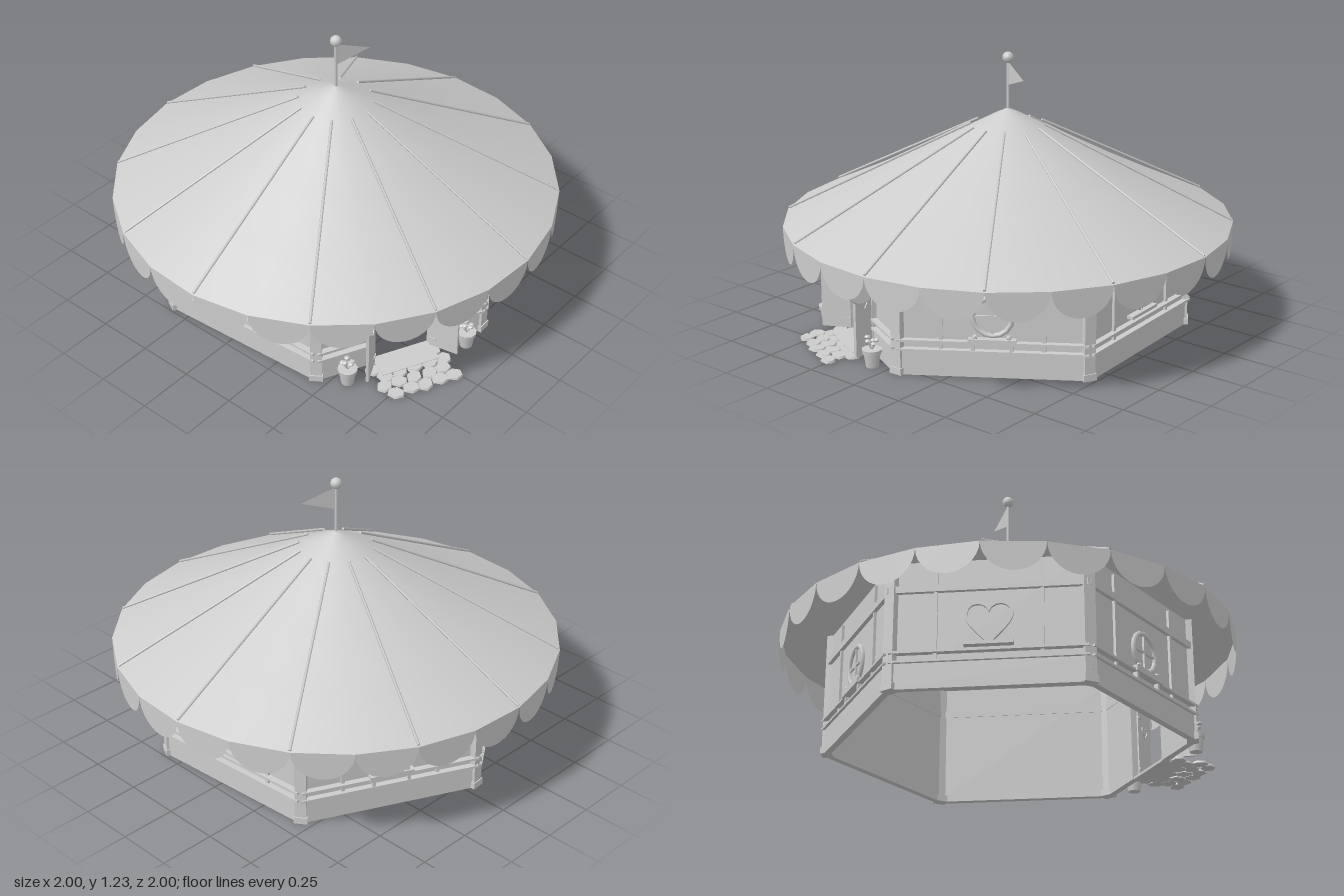
import * as THREE from 'three';

const DEG = Math.PI / 180;
const TURN = 4 * DEG;
const APOTHEM = 0.69;

export function createModel() {
  const clay = new THREE.MeshStandardMaterial({ color: 0xcccccc, side: THREE.DoubleSide });
  clay.name = 'light grey';
  const model = new THREE.Group();
  const house = new THREE.Group();
  house.name = 'pavilion';
  house.rotation.y = TURN;
  model.add(house);

  const add = (parent, name, geo, x = 0, y = 0, z = 0) => {
    const m = new THREE.Mesh(geo, clay);
    m.name = name;
    m.position.set(x, y, z);
    parent.add(m);
    return m;
  };
  // box given by its centre x, bottom y, centre z
  const box = (parent, name, w, h, d, x, y, z) =>
    add(parent, name, new THREE.BoxGeometry(w, h, d), x, y + h / 2, z);

  // thin round bar between two points
  const bar = (parent, name, a, b, r, sides = 6) => {
    const dir = b.clone().sub(a);
    const m = add(parent, name, new THREE.CylinderGeometry(r, r, dir.length(), sides));
    m.position.copy(a).add(b).multiplyScalar(0.5);
    m.quaternion.setFromUnitVectors(new THREE.Vector3(0, 1, 0), dir.normalize());
    return m;
  };

  const heartCurve = (s, target) => {
    target.moveTo(0, -s);
    target.bezierCurveTo(-0.35 * s, -0.55 * s, -s, -0.1 * s, -s, 0.4 * s);
    target.bezierCurveTo(-s, 1.05 * s, -0.15 * s, 1.05 * s, 0, 0.5 * s);
    target.bezierCurveTo(0.15 * s, 1.05 * s, s, 1.05 * s, s, 0.4 * s);
    target.bezierCurveTo(s, -0.1 * s, 0.35 * s, -0.55 * s, 0, -s);
    return target;
  };
  const heartRing = (s, inner, depth) => {
    const shape = heartCurve(s, new THREE.Shape());
    shape.holes.push(heartCurve(inner, new THREE.Path()));
    return new THREE.ExtrudeGeometry(shape, { depth, bevelEnabled: false, curveSegments: 6 });
  };

  // Roof: slightly hollow 24-sided cone
  const profile = [[1, 0.485], [0.75, 0.6], [0.5, 0.722], [0.25, 0.852], [0.15, 0.905], [0.05, 0.958], [0, 0.98]]
    .map(([r, y]) => new THREE.Vector2(r, y));
  add(house, 'roof', new THREE.LatheGeometry(profile, 24));

  // Straight ribs over the roof
  for (let i = 0; i < 12; i++) {
    const a = i * 30 * DEG, c = Math.cos(a), s = Math.sin(a);
    bar(house, 'roofRib', new THREE.Vector3(0.165 * c, 0.908, 0.165 * s),
      new THREE.Vector3(0.995 * c, 0.492, 0.995 * s), 0.006);
  }

  // Scalloped valance around the eave
  const scallop = new THREE.CircleGeometry(0.1305, 14, Math.PI, Math.PI);
  scallop.scale(1, 0.96, 1);
  for (let i = 0; i < 24; i++) {
    const a = (i * 15 + 7.5) * DEG, r = Math.cos(7.5 * DEG);
    add(house, 'valanceScallop', scallop, r * Math.sin(a), 0.485, r * Math.cos(a)).rotation.y = a;
  }

  // Flagpole, ball and pennant
  bar(house, 'flagpole', new THREE.Vector3(0, 0.96, 0), new THREE.Vector3(0, 1.2, 0), 0.007);
  add(house, 'poleBall', new THREE.IcosahedronGeometry(0.026, 1), 0, 1.205, 0);
  const pennant = new THREE.Shape([[0, 0.055], [0, -0.05], [0.16, 0]].map(([x, y]) => new THREE.Vector2(x, y)));
  add(house, 'pennant', new THREE.ShapeGeometry(pennant), 0, 1.132, 0).rotation.y = 60 * DEG;

  // Corner posts
  for (let i = 0; i < 6; i++) {
    const corner = new THREE.Group();
    corner.name = 'cornerPost';
    corner.rotation.y = i * 60 * DEG + 90 * DEG;
    house.add(corner);
    box(corner, 'post', 0.05, 0.56, 0.04, 0, 0, 0.79);
    box(corner, 'postFoot', 0.06, 0.03, 0.05, 0, 0, 0.79);
  }

  const roundWindow = (g) => {
    add(g, 'windowFrame', new THREE.TorusGeometry(0.083, 0.011, 6, 16), 0, 0.267, 0.697);
    add(g, 'windowPane', new THREE.CircleGeometry(0.08, 16), 0, 0.267, 0.693);
    box(g, 'windowBar', 0.01, 0.16, 0.01, 0, 0.187, 0.697);
    box(g, 'windowBar', 0.16, 0.01, 0.01, 0, 0.262, 0.697);
    box(g, 'windowSill', 0.2, 0.025, 0.03, 0, 0.15, 0.71);
    for (const s of [-1, 1]) {
      add(g, 'sillFlower', new THREE.IcosahedronGeometry(0.012, 0), s * 0.07, 0.183, 0.712);
      box(g, 'sillBracket', 0.014, 0.04, 0.02, s * 0.08, 0.115, 0.705);
    }
  };
  const heartWindow = (g) => {
    add(g, 'heartFrame', heartRing(0.1, 0.088, 0.012), 0, 0.278, 0.69);
    box(g, 'heartSill', 0.2, 0.014, 0.03, 0, 0.175, 0.705);
  };

  // Base panel, rails and wall over a stretch of one side
  const wallStretch = (g, w, x) => {
    box(g, 'wall', w, 0.56, 0.015, x, 0, APOTHEM - 0.0075);
    box(g, 'basePanel', w, 0.11, 0.015, x, 0, 0.697);
    for (const y of [0.11, 0.15]) box(g, 'rail', w, 0.01, 0.03, x, y, 0.702);
  };

  // Sides in order of angle; the last one holds the entrance
  for (let i = 0; i < 6; i++) {
    const side = new THREE.Group();
    side.name = i === 5 ? 'entranceSide' : 'wallSide';
    side.rotation.y = (30 + i * 60 + 90) * DEG;
    house.add(side);
    box(side, 'topBeam', 0.8, 0.03, 0.035, 0, 0.42, 0.69);
    if (i < 5) {
      wallStretch(side, 0.8, 0);
      for (const s of [-1, 1]) box(side, 'batten', 0.015, 0.42, 0.02, s * 0.215, 0.12, 0.692);
      (i % 2 === 0 ? roundWindow : heartWindow)(side);
    } else buildEntrance(side);
  }

  function buildEntrance(g) {
    box(g, 'doorHeadWall', 0.28, 0.2, 0.015, 0, 0.36, APOTHEM - 0.0075);
    box(g, 'doorLintel', 0.31, 0.02, 0.04, 0, 0.36, 0.695);
    for (const s of [-1, 1]) {
      wallStretch(g, 0.26, s * 0.27);
      box(g, 'doorJamb', 0.02, 0.36, 0.035, s * 0.145, 0, 0.693);

      // Open door leaf
      const leaf = new THREE.Group();
      leaf.name = 'doorLeaf';
      leaf.position.set(s * 0.135, 0, 0.705);
      leaf.rotation.y = -s * 0.92;
      g.add(leaf);
      box(leaf, 'doorPanel', 0.134, 0.335, 0.012, s * 0.067, 0.015, 0);
      add(leaf, 'doorHeart', heartRing(0.03, 0.023, 0.02), s * 0.067, 0.245, -0.01);
      for (const y of [0.05, 0.3]) box(leaf, 'hinge', 0.03, 0.012, 0.02, s * 0.015, y, 0);

      // Potted plant
      add(g, 'flowerPot', new THREE.CylinderGeometry(0.038, 0.028, 0.065, 10), s * 0.285, 0.0325, 0.762);
      add(g, 'potRim', new THREE.CylinderGeometry(0.044, 0.042, 0.018, 10), s * 0.285, 0.07, 0.762);
      for (let k = 0; k < 5; k++) {
        const a = k * 72 * DEG;
        const tip = new THREE.Vector3(s * 0.285 + 0.022 * Math.cos(a), 0.108 + 0.01 * (k % 3), 0.762 + 0.022 * Math.sin(a));
        bar(g, 'stem', new THREE.Vector3(s * 0.285, 0.07, 0.762), tip, 0.003, 4);
        const leafBud = add(g, 'flower', new THREE.IcosahedronGeometry(0.014, 0));
        leafBud.position.copy(tip);
        leafBud.scale.y = 0.6;
      }
    }

    // Lantern on the left, round hanging sign on the right
    box(g, 'lanternArm', 0.01, 0.01, 0.07, -0.27, 0.39, 0.72);
    box(g, 'lanternBody', 0.035, 0.06, 0.035, -0.27, 0.3, 0.745);
    add(g, 'lanternCap', new THREE.ConeGeometry(0.035, 0.03, 4, 1, false, Math.PI / 4), -0.27, 0.375, 0.745);
    box(g, 'signArm', 0.012, 0.012, 0.15, 0.27, 0.4, 0.765);
    const sign = add(g, 'signDisc', new THREE.CylinderGeometry(0.052, 0.052, 0.014, 18), 0.27, 0.338, 0.8);
    sign.rotation.z = Math.PI / 2;
    add(g, 'signRim', new THREE.TorusGeometry(0.052, 0.008, 6, 18), 0.27, 0.338, 0.8).rotation.y = Math.PI / 2;

    // Doorstep and paving stones
    box(g, 'doorstep', 0.27, 0.012, 0.12, 0, 0, 0.74);
    let seed = 7;
    const rnd = () => (seed = (seed * 16807) % 2147483647) / 2147483647 - 0.5;
    for (let row = 0; row < 4; row++) {
      for (let col = 0; col < 5; col++) {
        const stone = add(g, 'pavingStone', new THREE.CylinderGeometry(0.036, 0.04, 0.01, 6),
          (col - 2) * 0.07 + (row % 2 - 0.5) * 0.025 + rnd() * 0.01, 0.005, 0.745 + row * 0.056 + rnd() * 0.01);
        stone.rotation.y = rnd() * 2;
        stone.scale.z = 0.85;
      }
    }
  }

  return model;
}
